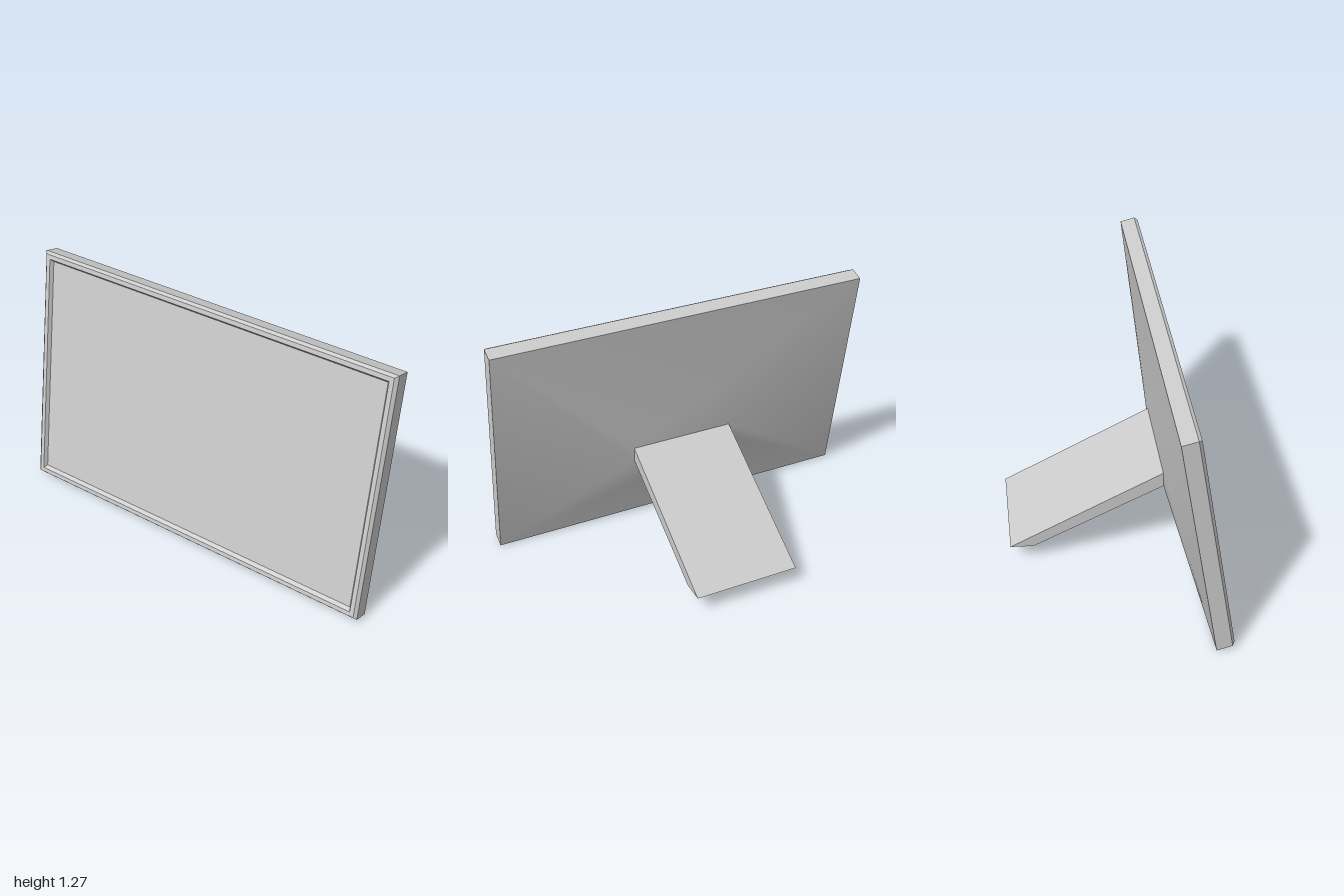
import * as THREE from 'three';

const grey = () => new THREE.MeshStandardMaterial({ color: 0xcccccc });

// Four corners of a tilted rectangle: half width, bottom edge (y, z), top edge (y, z)
const ring = (w, yb, zb, yt, zt) => [[-w, yb, zb], [w, yb, zb], [w, yt, zt], [-w, yt, zt]];

// Skin a series of rectangles ordered from back to front, optionally closing an end
function loft(name, rings, { capBack = false, capFront = false, smooth = false } = {}) {
  const index = [];
  const quad = (a, b, c, d) => index.push(a, b, c, a, c, d);
  for (let r = 0; r < rings.length - 1; r++) {
    for (let i = 0; i < 4; i++) {
      const j = (i + 1) % 4, p = r * 4, q = p + 4;
      quad(p + i, p + j, q + j, q + i);
    }
  }
  const last = (rings.length - 1) * 4;
  if (capBack) quad(3, 2, 1, 0);
  if (capFront) quad(last, last + 1, last + 2, last + 3);
  let geometry = new THREE.BufferGeometry();
  geometry.setAttribute('position', new THREE.Float32BufferAttribute(rings.flat(2), 3));
  geometry.setIndex(index);
  if (!smooth) geometry = geometry.toNonIndexed();
  geometry.computeVertexNormals();
  const mesh = new THREE.Mesh(geometry, grey());
  mesh.name = name;
  return mesh;
}

export function createModel() {
  const model = new THREE.Group();
  model.name = 'displayWithStand';

  const standHalf = 0.275;
  const hub = ring(standHalf, 0.433, 0.271, 0.513, 0.268);
  const backEdge = ring(1, 0, 0.428, 1.254, 0.207);
  const sideEdge = ring(1, 0.024, 0.504, 1.274, 0.281);
  const faceOuter = ring(0.985, 0.037, 0.515, 1.266, 0.298);
  const faceInner = ring(0.963, 0.06, 0.511, 1.243, 0.302);
  const screenEdge = ring(0.952, 0.07, 0.491, 1.227, 0.287);

  // Shallow pyramid-shaped rear shell, narrowing to the stand
  model.add(loft('backShell', [hub, backEdge], { capBack: true, smooth: true }));
  // Outer sides, chamfer, front border and recess wall
  model.add(loft('bezel', [backEdge, sideEdge, faceOuter, faceInner, screenEdge]));
  // Flat recessed screen
  model.add(loft('screen', [screenEdge], { capFront: true }));

  // Sloping support leg: side profile in (-z, y), extruded along x
  const profile = new THREE.Shape([
    [0.268, 0.515], [0.271, 0.433], [-0.393, 0.094], [-0.512, 0.099],
  ].map(([z, y]) => new THREE.Vector2(-z, y)));
  const legGeometry = new THREE.ExtrudeGeometry(profile, { depth: standHalf * 2, bevelEnabled: false });
  legGeometry.translate(0, 0, -standHalf);
  legGeometry.rotateY(Math.PI / 2);
  const leg = new THREE.Mesh(legGeometry, grey());
  leg.name = 'supportLeg';
  model.add(leg);

  return model;
}
